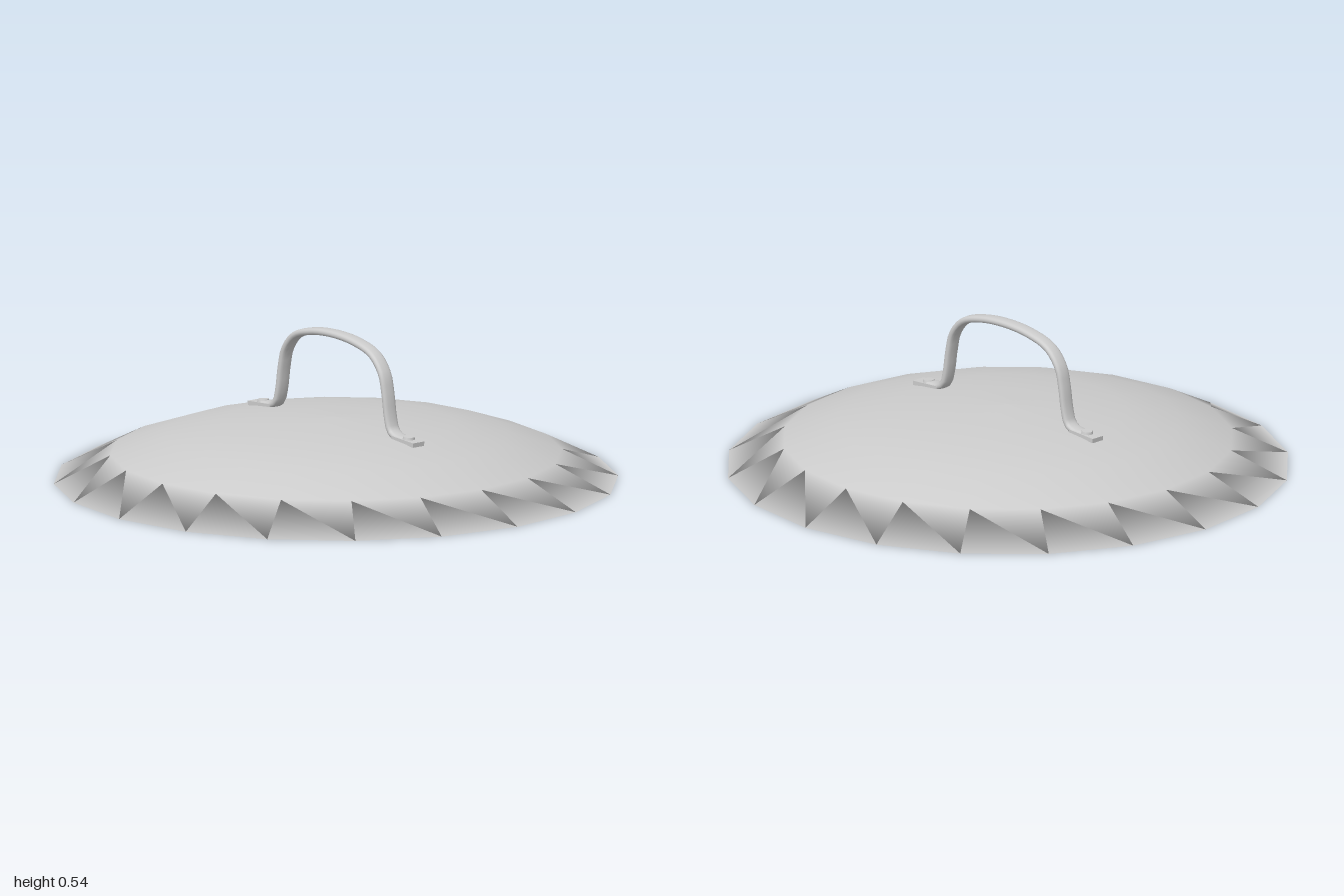
import * as THREE from 'three';
import { ParametricGeometry } from 'three/addons/geometries/ParametricGeometry.js';

export function createModel() {
  const group = new THREE.Group();
  const material = new THREE.MeshStandardMaterial({ color: 0xcccccc });

  const add = (name, geometry, parent = group) => {
    const mesh = new THREE.Mesh(geometry, material);
    mesh.name = name;
    parent.add(mesh);
    return mesh;
  };

  // Shallow dome with a closed base, smooth around the rim
  const profile = [
    [0, 0], [1, 0], [0.8, 0.1], [0.61, 0.165], [0.42, 0.202], [0.2, 0.222], [0, 0.228],
  ].map(([r, y]) => new THREE.Vector2(r, y));
  add('lidDome', new THREE.LatheGeometry(profile, 20));

  // Arched handle: half path (z, y), mirrored to the back
  const half = [
    [0.39, 0.21], [0.345, 0.213], [0.315, 0.232], [0.299, 0.28], [0.286, 0.36],
    [0.267, 0.43], [0.215, 0.488], [0.12, 0.518],
  ];
  const path = [...half, [0, 0.528], ...half.slice().reverse().map(([z, y]) => [-z, y])];
  const curve = new THREE.CatmullRomCurve3(path.map(([z, y]) => new THREE.Vector3(0, y, z)));

  // Rounded-rectangle section swept along the path
  const soft = (s) => Math.sign(s) * Math.pow(Math.abs(s), 0.7);
  const sweep = (u, v, target) => {
    const p = curve.getPointAt(u);
    const t = curve.getTangentAt(u);
    const a = v * Math.PI * 2;
    const side = 0.026 * soft(Math.cos(a));
    const out = 0.013 * soft(Math.sin(a));
    target.set(side, p.y - t.z * out, p.z + t.y * out);
  };
  add('handleArch', new ParametricGeometry(sweep, 48, 16));

  // Riveted foot plates at both ends of the handle
  for (const s of [1, -1]) {
    const foot = new THREE.Group();
    foot.name = s > 0 ? 'frontFoot' : 'backFoot';
    foot.position.set(0, 0.208, s * 0.395);
    foot.rotation.x = s * 0.06;
    add('footPlate', new THREE.BoxGeometry(0.052, 0.016, 0.12), foot);
    add('rivet', new THREE.CylinderGeometry(0.02, 0.023, 0.012, 12), foot).position.set(0, 0.011, s * 0.005);
    group.add(foot);
  }

  return group;
}
